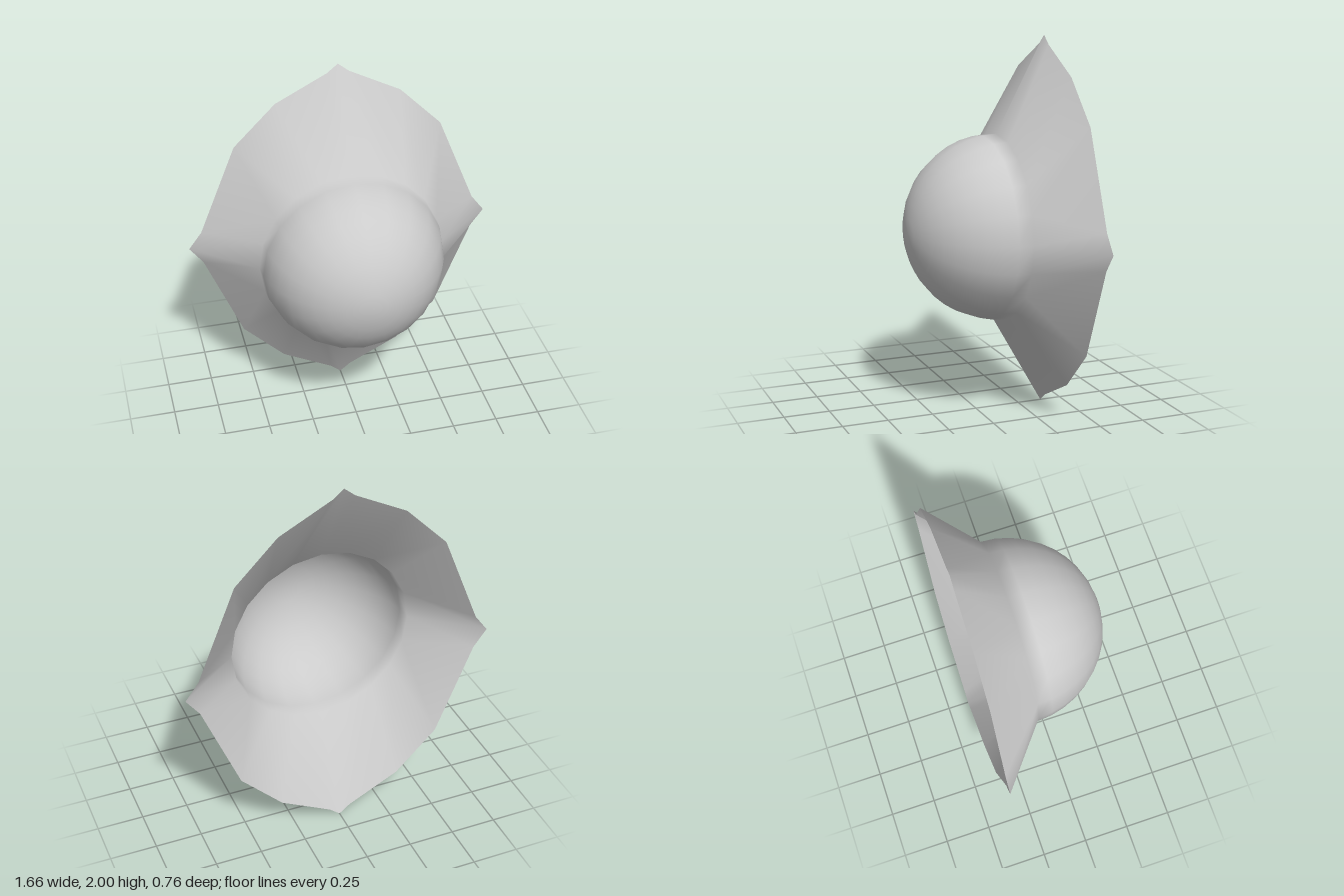
import * as THREE from 'three';

const SIDES = 20, DOME_RINGS = 10, RADIUS = 0.495, CENTER_Y = 1, SEAM_Z = -0.115, RIM_Z = -0.383;

// One quarter of the pointed flange rim, from the side tip to the top tip
const QUARTER = [[0.828, 0], [0.757, 0.095], [0.557, 0.588], [0.333, 0.812], [0.058, 0.953], [0, 1]];

// Mirror the quarter into a full rim, counter-clockwise from +x
function rimPoint(j) {
  const quadrant = Math.floor(j / 5), k = j % 5;
  const [x, y] = QUARTER[quadrant % 2 ? 5 - k : k];
  return [quadrant === 1 || quadrant === 2 ? -x : x, quadrant >= 2 ? -y : y];
}

// Open shell: hemispherical dome flowing into a flared flange, sharing smooth normals
function shellGeometry() {
  const positions = [0, CENTER_Y, SEAM_Z + RADIUS], index = [];
  // Dome rings, from the front pole back to the seam
  for (let i = 1; i <= DOME_RINGS; i++) {
    const polar = (i / DOME_RINGS) * Math.PI / 2;
    const r = RADIUS * Math.sin(polar), z = SEAM_Z + RADIUS * Math.cos(polar);
    for (let j = 0; j < SIDES; j++) {
      const a = (j / SIDES) * Math.PI * 2;
      positions.push(r * Math.cos(a), CENTER_Y + r * Math.sin(a), z);
    }
  }
  // Flange rim
  for (let j = 0; j < SIDES; j++) {
    const [x, y] = rimPoint(j);
    positions.push(x, CENTER_Y + y, RIM_Z);
  }
  // Pole fan, then bands of quads
  const at = (ring, j) => 1 + ring * SIDES + (j % SIDES);
  for (let j = 0; j < SIDES; j++) {
    index.push(0, at(0, j), at(0, j + 1));
    for (let i = 0; i < DOME_RINGS; i++) {
      const a = at(i, j), b = at(i + 1, j), c = at(i + 1, j + 1), d = at(i, j + 1);
      index.push(a, b, c, a, c, d);
    }
  }
  const geometry = new THREE.BufferGeometry();
  geometry.setAttribute('position', new THREE.Float32BufferAttribute(positions, 3));
  geometry.setIndex(index);
  geometry.computeVertexNormals();
  return geometry;
}

export function createModel() {
  const group = new THREE.Group();
  group.name = 'domedShell';
  const material = new THREE.MeshStandardMaterial({ color: 0xcccccc, side: THREE.DoubleSide });
  const shell = new THREE.Mesh(shellGeometry(), material);
  shell.name = 'domeAndFlange';
  group.add(shell);
  return group;
}
